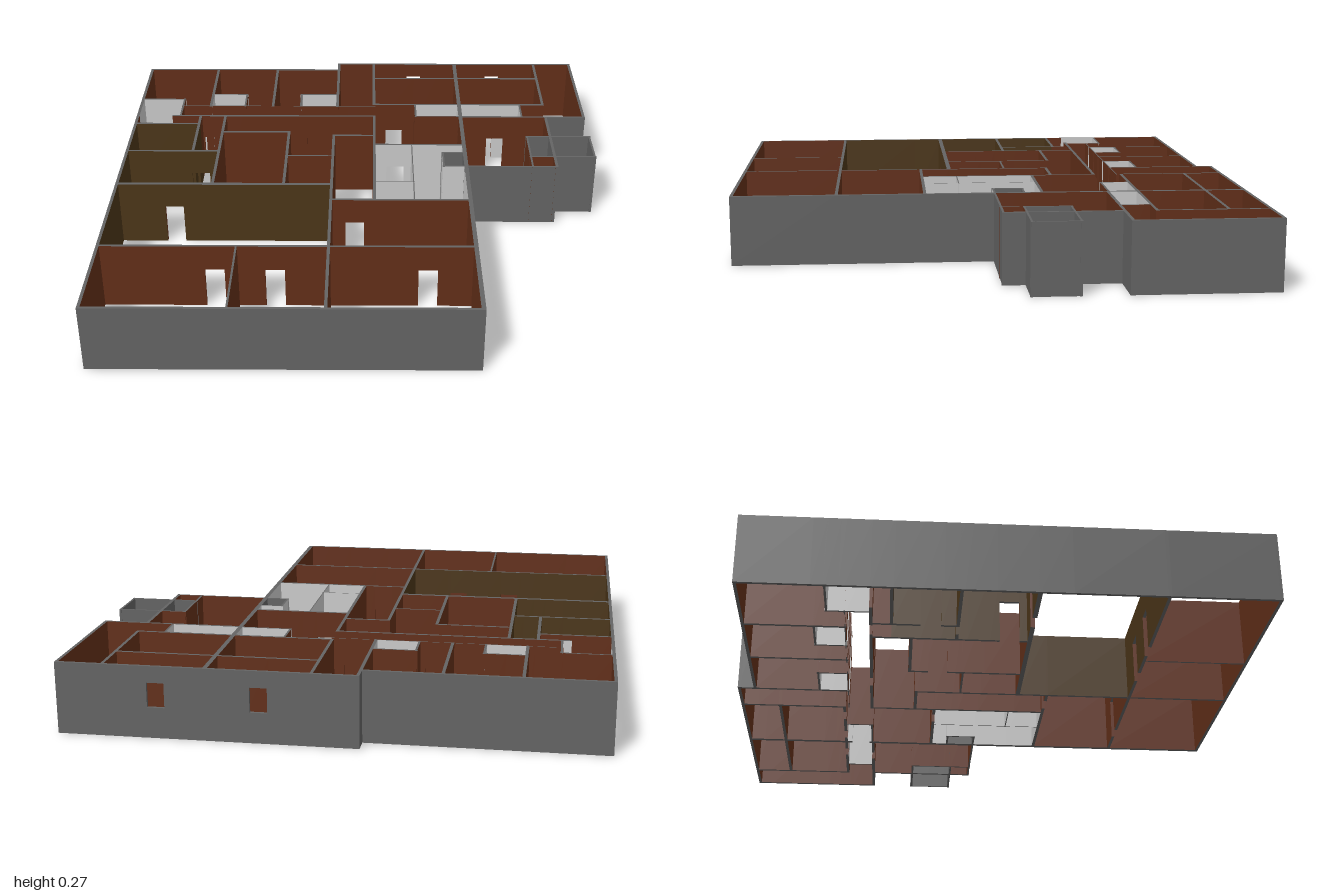
import * as THREE from 'three';

const H = 0.27, DOOR_W = 0.075, DOOR_H = 0.165;
const mat = (color) => new THREE.MeshStandardMaterial({ color });
const grey = mat(0x646464), brown = mat(0x632f19), olive = mat(0x4c3619), white = mat(0xcccccc);

// Finish of each zone as x0, x1, z0, z1; the first match wins, outside is grey
const zones = [
  [0.35, 0.44, -0.13, -0.015, grey],
  [0.72, 0.989, -0.275, -0.10, grey],
  [0.06, 0.44, -0.2, 0.255, white],
  [0.245, 0.715, -0.57, -0.46, white],
  [-0.989, -0.80, -0.62, -0.46, white],
  [-0.675, -0.52, -0.67, -0.55, white],
  [-0.27, -0.105, -0.67, -0.55, white],
  [-0.989, -0.60, -0.385, 0.135, olive],
  [-0.989, -0.115, 0.135, 0.595, olive],
  [-0.989, 0.445, -0.93, 0.994, brown],
  [-0.105, 0.989, -0.994, -0.46, brown],
  [0.445, 0.82, -0.46, -0.015, brown],
];
function finishAt(x, z) {
  const zone = zones.find(([x0, x1, z0, z1]) => x > x0 && x < x1 && z > z0 && z < z1);
  return zone ? zone[4] : grey;
}

const THICK = 0.017, MID = 0.012, SLIM = 0.008, THIN = 0.004;

// Walls running along x: z, x0, x1, thickness, door centres
const wallsX = [
  [-0.93, -0.989, -0.105, MID],
  [-0.994, -0.105, 0.989, MID],
  [-0.84, 0.06, 0.82, MID],
  [-0.67, -0.675, -0.52, SLIM],
  [-0.67, -0.27, -0.105, SLIM],
  [-0.62, -0.989, -0.80, SLIM],
  [-0.555, -0.80, 0.06, THIN, [-0.74, -0.46, -0.33, -0.02]],
  [-0.574, 0.06, 0.82, MID, [0.15, 0.36, 0.56]],
  [-0.46, -0.83, 0.06, MID, [-0.2, -0.66]],
  [-0.46, 0.245, 0.44, SLIM],
  [-0.456, 0.44, 0.989, MID, [0.6]],
  [-0.385, -0.989, -0.71, MID],
  [-0.31, -0.60, -0.31, MID],
  [-0.28, -0.115, 0.06, MID],
  [-0.275, 0.72, 0.989, SLIM],
  [-0.2, 0.06, 0.44, MID, [0.15]],
  [-0.14, -0.989, -0.60, MID, [-0.68]],
  [-0.13, 0.35, 0.44, SLIM],
  [-0.10, -0.31, -0.115, SLIM],
  [-0.10, 0.72, 0.989, SLIM],
  [-0.015, 0.35, 0.44, SLIM],
  [-0.015, 0.44, 0.82, SLIM],
  [0.112, 0.06, 0.22, THIN],
  [0.135, -0.989, -0.115, THICK, [-0.76]],
  [0.255, -0.115, 0.44, MID, [-0.02]],
  [0.595, -0.989, 0.445, MID, [-0.55, -0.32, 0.265]],
  [0.994, -0.989, 0.445, MID],
];

// Walls running along z: x, z0, z1, thickness, door centres
const wallsZ = [
  [-0.989, -0.93, 0.994, MID],
  [-0.80, -0.62, -0.46, SLIM],
  [-0.71, -0.46, -0.14, MID, [-0.24]],
  [-0.675, -0.93, -0.555, MID],
  [-0.60, -0.46, 0.135, MID, [0.06]],
  [-0.52, -0.67, -0.555, SLIM],
  [-0.465, 0.595, 0.994, SLIM],
  [-0.395, -0.93, -0.555, MID],
  [-0.31, -0.31, 0.135, MID, [-0.2]],
  [-0.27, -0.67, -0.555, SLIM],
  [-0.115, -0.28, 0.994, MID],
  [-0.105, -0.994, -0.555, MID],
  [0.06, -0.994, -0.574, MID],
  [0.06, -0.46, 0.255, MID],
  [0.22, -0.2, 0.255, THIN],
  [0.245, -0.574, -0.46, SLIM],
  [0.35, -0.13, -0.015, SLIM],
  [0.443, -0.994, 0.994, THICK, [-0.51]],
  [0.715, -0.574, -0.46, SLIM],
  [0.72, -0.275, -0.015, SLIM],
  [0.82, -0.994, -0.574, MID],
  [0.82, -0.456, -0.015, MID],
  [0.989, -0.994, -0.456, MID],
  [0.989, -0.275, -0.10, SLIM],
];

// One block of wall with each side finished like the room it faces
function block(group, alongX, at, a, b, y0, y1, t, name) {
  const mid = (a + b) / 2, len = b - a;
  const [x, z] = alongX ? [mid, at] : [at, mid];
  const [w, d] = alongX ? [len, t] : [t, len];
  const geometry = new THREE.BoxGeometry(w, y1 - y0, d);
  const ox = w / 2 + 0.008, oz = d / 2 + 0.008;
  const mesh = new THREE.Mesh(geometry, [
    finishAt(x + ox, z), finishAt(x - ox, z), grey, grey,
    finishAt(x, z + oz), finishAt(x, z - oz),
  ]);
  mesh.position.set(x, (y0 + y1) / 2, z);
  mesh.name = name;
  group.add(mesh);
}

// A whole wall, cut at zone borders and around its openings
function wall(alongX, [at, from, to, t, doors = []], windows = []) {
  const group = new THREE.Group();
  group.name = alongX ? 'crossWall' : 'lengthWall';
  const openings = [
    ...doors.map((c) => ({ a: c - DOOR_W / 2, b: c + DOOR_W / 2, low: 0, high: DOOR_H })),
    ...windows.map((c) => ({ a: c - 0.032, b: c + 0.032, low: 0.115, high: 0.208 })),
  ];
  const start = from - 0.006, end = to + 0.006;
  const borders = zones.flatMap((q) => (alongX ? [q[0], q[1]] : [q[2], q[3]]))
    .filter((v) => v > start + 0.015 && v < end - 0.015
      && !openings.some((o) => v > o.a && v < o.b));
  const cuts = [...new Set([start, end, ...borders, ...openings.flatMap((o) => [o.a, o.b])])]
    .sort((p, q) => p - q);
  for (let i = 0; i + 1 < cuts.length; i++) {
    const a = cuts[i], b = cuts[i + 1], mid = (a + b) / 2;
    if (b - a < 1e-4) continue;
    const hole = openings.find((o) => mid > o.a && mid < o.b);
    if (!hole) {
      block(group, alongX, at, a, b, 0, H, t, 'wallPanel');
    } else {
      block(group, alongX, at, a, b, hole.high, H, t, 'lintel');
      if (hole.low > 0) block(group, alongX, at, a, b, 0, hole.low, t, 'windowSill');
    }
  }
  return group;
}

export function createModel() {
  const model = new THREE.Group();
  model.name = 'floorPlanWalls';
  // The rear outer wall carries two small windows
  for (const w of wallsX) model.add(wall(true, w, w[0] === -0.994 ? [0.25, 0.625] : []));
  for (const w of wallsZ) model.add(wall(false, w));
  return model;
}
